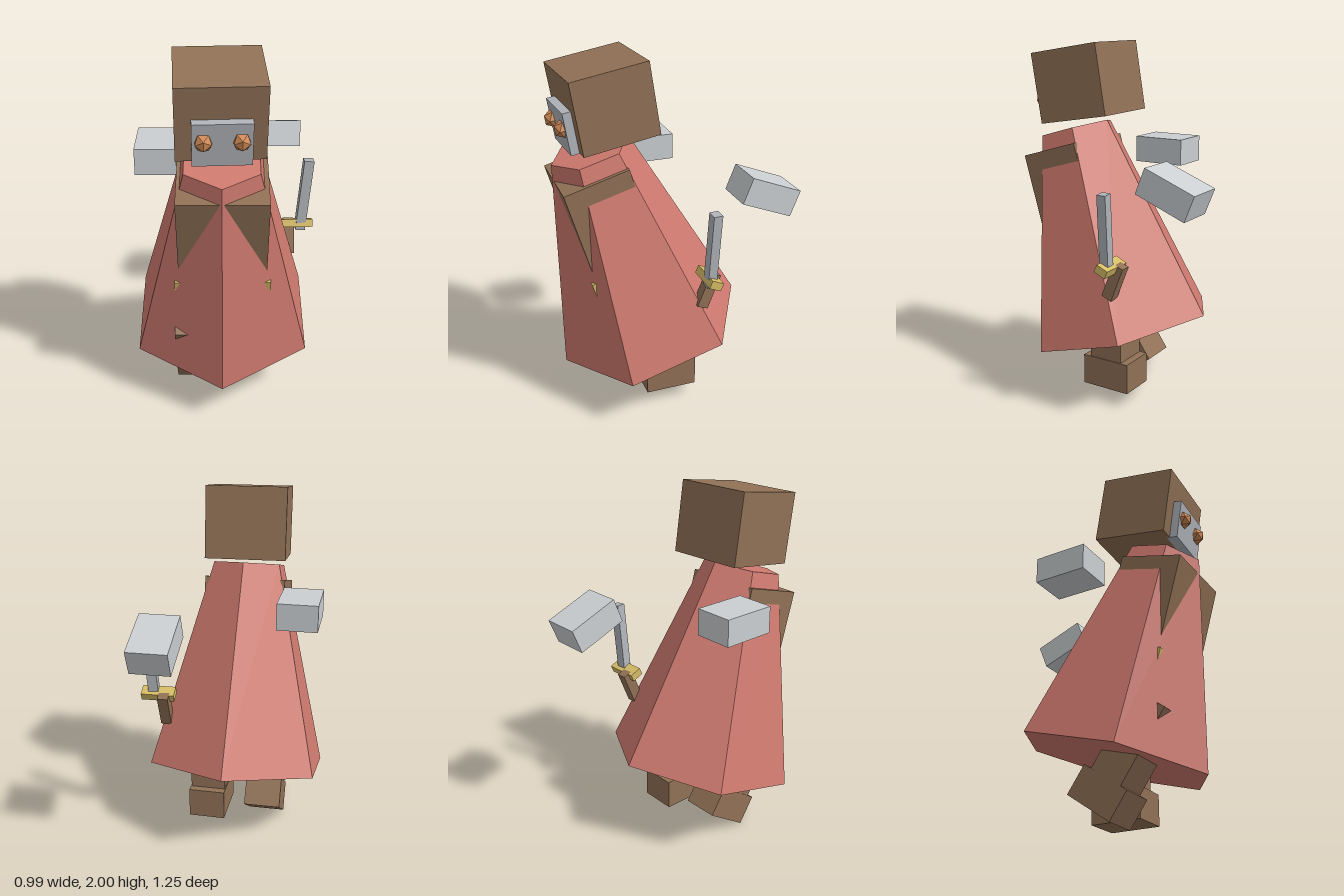
import * as THREE from 'three';

const mat = (name, color) => {
  const m = new THREE.MeshStandardMaterial({ color });
  m.name = name;
  return m;
};

export function createModel() {
  const model = new THREE.Group();
  model.name = 'cloakedFigure';

  const red = mat('cloakRed', 0xcf7a6f);
  const brown = mat('leatherBrown', 0x917156);
  const silver = mat('gloveSilver', 0xcbcfd2);
  const steel = mat('steelGrey', 0xb0b4b9);
  const gold = mat('brassYellow', 0xd6bc66);
  const copper = mat('eyeCopper', 0xcd8854);

  // Facets use split corners so every edge stays sharp
  const add = (parent, name, geometry, material, pos, rot = [0, 0, 0]) => {
    const mesh = new THREE.Mesh(geometry, material);
    mesh.name = name;
    mesh.position.set(...pos);
    mesh.rotation.set(...rot, 'YXZ');
    parent.add(mesh);
    return mesh;
  };
  const box = (parent, name, size, material, pos, rot) =>
    add(parent, name, new THREE.BoxGeometry(...size), material, pos, rot);
  const group = (name, pos, rot) => {
    const g = new THREE.Group();
    g.name = name;
    g.position.set(...pos);
    g.rotation.set(...rot, 'YXZ');
    model.add(g);
    return g;
  };

  // Body leaning forward: six-sided cloak, with chest and belt corners poking through
  const body = group('body', [-0.015, 0.388, 0.085], [0.281, 0.07, 0]);
  const cloakGeometry = new THREE.CylinderGeometry(0.216, 0.537, 1.168, 6).toNonIndexed();
  cloakGeometry.computeVertexNormals();
  add(body, 'cloak', cloakGeometry, red, [0, 0.584, 0]);
  box(body, 'torso', [0.457, 0.66, 0.36], brown, [0.0025, 0.753, 0.054]);
  box(body, 'belt', [0.5, 0.1, 0.412], gold, [0.0025, 0.505, 0.054]);

  // Head with mask and faceted eyes
  const head = group('head', [-0.012, 1.775, 0.33], [0.157, 0.125, 0]);
  box(head, 'skull', [0.438, 0.388, 0.418], brown, [0, 0, 0]);
  box(head, 'mask', [0.288, 0.225, 0.06], steel, [0.004, -0.083, 0.224]);
  for (const [side, s] of [['left', 1], ['right', -1]]) {
    add(head, side + 'Eye', new THREE.IcosahedronGeometry(0.047, 0), copper,
      [0.004 + s * 0.09, -0.065, 0.256]);
  }

  // Legs: foot and shin share one swing
  const legs = [
    ['leftLeg', [0.14, 0.175, 0.037], [0, 0.07, 0]],
    ['rightLeg', [-0.17, 0.157, 0.135], [0.605, 0.085, 0]],
  ];
  for (const [name, pos, rot] of legs) {
    const leg = group(name, pos, rot);
    box(leg, 'foot', [0.208, 0.172, 0.29], brown, [0, 0, 0]);
    box(leg, 'shin', [0.2, 0.52, 0.2], brown, [0, 0.26, 0]);
  }

  // Floating hands
  const handSize = [0.219, 0.146, 0.297];
  box(model, 'rightHand', handSize, silver, [-0.367, 1.38, 0.035], [0, 0.07, 0]);
  box(model, 'leftHand', handSize, silver, [0.285, 1.296, -0.455], [-0.38, 0.085, 0]);

  // Sword
  box(model, 'swordHandle', [0.06, 0.2, 0.062], brown, [0.358, 0.787, -0.134], [-0.38, 0.09, 0]);
  box(model, 'swordGuard', [0.188, 0.045, 0.07], gold, [0.395, 0.873, -0.133], [-0.42, 0.1, 0]);
  box(model, 'swordBlade', [0.056, 0.43, 0.05], steel, [0.437, 1.056, -0.134], [-0.015, 0.15, -0.085]);

  return model;
}
